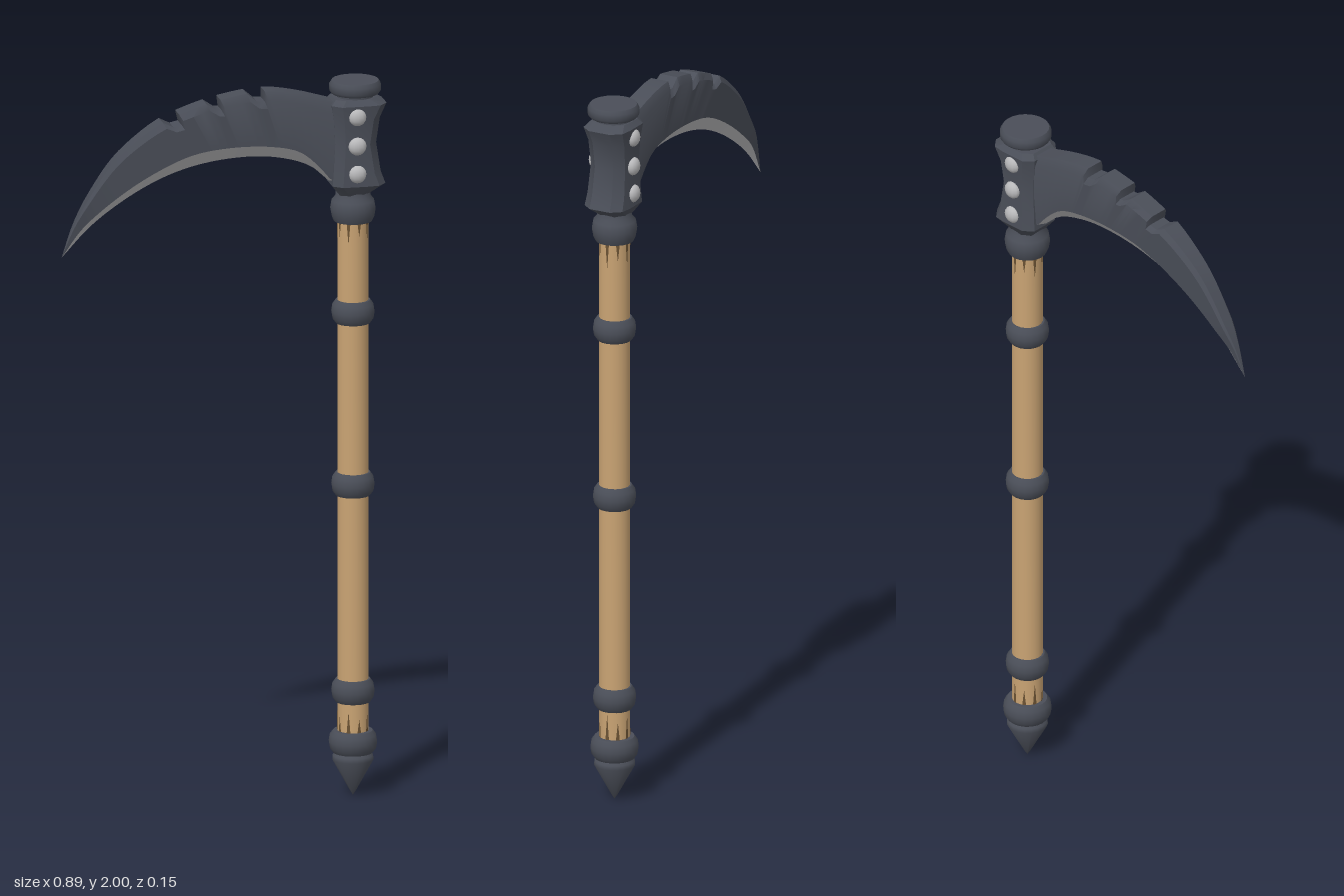
import * as THREE from 'three';
import { toCreasedNormals } from 'three/addons/utils/BufferGeometryUtils.js';

const AXIS = 0.357; // x of the pole

const material = (name, color, side = THREE.FrontSide) => {
  const m = new THREE.MeshStandardMaterial({ color, side });
  m.name = name;
  return m;
};

// Skins rows of points; each row is one cross-section
function loft(rows, closed, crease) {
  const n = rows[0].length, index = [];
  for (let i = 0; i < rows.length - 1; i++) {
    for (let j = 0; j < (closed ? n : n - 1); j++) {
      const k = (j + 1) % n;
      const a = i * n + j, b = a + n, c = (i + 1) * n + k, d = i * n + k;
      index.push(a, b, c, a, c, d);
    }
  }
  const g = new THREE.BufferGeometry();
  g.setAttribute('position', new THREE.Float32BufferAttribute(rows.flat(2), 3));
  g.setIndex(index);
  return toCreasedNormals(g, crease);
}

// Turned part from [radius, y] pairs, bottom to top
function turned(profile, y = 0, x = AXIS, segments = 20) {
  const g = new THREE.LatheGeometry(profile.map(p => new THREE.Vector2(p[0], p[1])), segments);
  g.translate(x, y, 0);
  return toCreasedNormals(g, 0.75);
}

const curve = pts => new THREE.CatmullRomCurve3(pts.map(p => new THREE.Vector3(p[0], p[1], 0)));

export function createModel() {
  const iron = material('dark iron', 0x4a4e58);
  const steel = material('bright steel', 0xb9b9bb);
  const wood = material('light wood', 0xc9a373);
  const stain = material('dark wood grain', 0x6b5233, THREE.DoubleSide);

  const model = new THREE.Group();
  model.name = 'scythe';
  const add = (name, geometry, mat, parent = model) => {
    const mesh = new THREE.Mesh(geometry, mat);
    mesh.name = name;
    parent.add(mesh);
    return mesh;
  };

  // Wooden pole
  add('pole', turned([[0.042, 0.12], [0.042, 1.64]]), wood);

  // Dark grain wedges at the two ends of the pole
  const grain = new THREE.Group();
  grain.name = 'grain';
  model.add(grain);
  for (let i = 0; i < 9; i++) {
    for (const [y, dir] of [[1.61, -1], [0.18, 1]]) {
      const length = 0.04 + 0.035 * ((i * 4) % 9) / 8;
      const angle = i * Math.PI * 2 / 9 + 0.2;
      const g = new THREE.PlaneGeometry(1, 1, 2, 1);
      const p = g.attributes.position;
      for (let k = 0; k < p.count; k++) {
        const t = p.getY(k) + 0.5;
        const a = angle + p.getX(k) * 0.26 * (1 - t);
        p.setXYZ(k, AXIS + Math.sin(a) * 0.0428, y + dir * t * length, Math.cos(a) * 0.0428);
      }
      g.computeVertexNormals();
      add('grainMark', g, stain, grain);
    }
  }

  // Rounded iron bands round the pole
  const band = (r, h) => [
    [0.04, -h], [r - 0.012, -h], [r - 0.003, -h * 0.6], [r, 0],
    [r - 0.003, h * 0.6], [r - 0.012, h], [0.04, h]];
  for (const y of [0.294, 0.872, 1.354]) add('poleBand', turned(band(0.059, 0.032), y), iron);
  add('footBand', turned(band(0.066, 0.031), 0.151), iron);

  // Pointed foot
  add('footSpike', turned([[0, 0], [0.008, 0.012], [0.056, 0.1], [0.055, 0.112], [0.042, 0.125]]), iron);

  // Collar and neck under the head
  add('collar', turned([
    [0.04, 1.607], [0.052, 1.607], [0.058, 1.62], [0.062, 1.642],
    [0.058, 1.665], [0.048, 1.677], [0.046, 1.7]]), iron);

  // Waisted eight-sided socket: y, left x, right x, half depth
  const section = ([y, x0, x1, h]) => {
    const half = [[x1, h * 0.5], [x1 - 0.022, h * 0.93], [x1 - 0.055, h], [x0 + 0.025, h], [x0, h * 0.65]];
    return [
      ...half.map(([x, z]) => [x, y, z]),
      ...half.slice().reverse().map(([x, z]) => [x, y, -z])];
  };
  const levels = [
    [1.685, 0.315, 0.395, 0.044], [1.715, 0.292, 0.440, 0.063], [1.75, 0.295, 0.427, 0.061],
    [1.83, 0.300, 0.415, 0.057], [1.9, 0.296, 0.425, 0.060], [1.94, 0.290, 0.443, 0.065],
    [1.955, 0.302, 0.415, 0.054]];
  const rings = levels.map(section);
  const lid = y => rings[0].map(() => [0.36, y, 0]);
  add('socket', loft([lid(1.685), ...rings, lid(1.955)], true, 0.5), iron);

  // Flat cap on top
  add('cap', turned([
    [0.05, 1.94], [0.05, 1.96], [0.064, 1.964], [0.07, 1.972],
    [0.07, 1.99], [0.064, 2], [0, 2]], 0, 0.363, 24), iron);

  // Three rivets on each side
  for (const side of [-1, 1]) {
    for (const y of [1.91, 1.828, 1.75]) {
      const rivet = add('rivet', new THREE.SphereGeometry(0.025, 12, 8), steel);
      rivet.scale.z = 0.7;
      rivet.position.set(AXIS, y, side * 0.058);
    }
  }

  // Blade guide curves, tip to root
  const spine = curve([
    [-0.45, 1.547], [-0.416, 1.64], [-0.363, 1.735], [-0.305, 1.815], [-0.24, 1.873],
    [-0.177, 1.915], [-0.1, 1.947], [-0.013, 1.972], [0.108, 1.988], [0.2, 1.975],
    [0.29, 1.95], [0.33, 1.94]]);
  const bevel = curve([
    [-0.45, 1.547], [-0.39, 1.633], [-0.31, 1.703], [-0.204, 1.772], [-0.098, 1.82],
    [0.008, 1.836], [0.125, 1.833], [0.204, 1.814], [0.257, 1.77], [0.29, 1.732], [0.33, 1.71]]);
  const edge = curve([
    [-0.45, 1.547], [-0.373, 1.628], [-0.294, 1.688], [-0.204, 1.74], [-0.125, 1.772],
    [-0.035, 1.793], [0.06, 1.801], [0.125, 1.798], [0.2, 1.782], [0.246, 1.761],
    [0.29, 1.722], [0.33, 1.70]]);

  // Stations [position, notch depth], with three notches in the spine
  const notches = [[0.475, 0.525], [0.605, 0.645], [0.72, 0.77]];
  const stations = [];
  for (let i = 0; i <= 36; i++) {
    const u = i / 36;
    if (!notches.some(([a, b]) => u > a - 0.006 && u < b + 0.006)) stations.push([u, 0]);
  }
  for (const [a, b] of notches) {
    stations.push([a, 0], [a + 0.018, 0.026], [b - 0.009, 0.03], [b, 0]);
  }
  stations.sort((p, q) => p[0] - q[0]);

  const body = [], cutting = [];
  for (const [u, depth] of stations) {
    const b = bevel.getPointAt(u), e = edge.getPointAt(u), s = spine.getPointAt(u);
    // Thickness fades towards the tip
    const w = s.x > -0.18 ? 0.038
      : s.x > -0.39 ? THREE.MathUtils.mapLinear(s.x, -0.39, -0.18, 0.022, 0.038)
        : THREE.MathUtils.mapLinear(s.x, -0.45, -0.39, 0, 0.022);
    if (depth) s.add(b.clone().sub(s).setLength(depth));
    const m = s.clone().lerp(b, 0.14);
    const at = (p, z) => [p.x, p.y, z];
    body.push([at(b, w * 0.85), at(m, w), at(s, w * 0.7), at(s, -w * 0.7), at(m, -w), at(b, -w * 0.85)]);
    cutting.push([at(b, -w * 0.85), at(e, 0), at(b, w * 0.85)]);
  }
  add('blade', loft(body, false, 0.6), iron);
  add('cuttingEdge', loft(cutting, false, 0.6), steel);

  return model;
}
